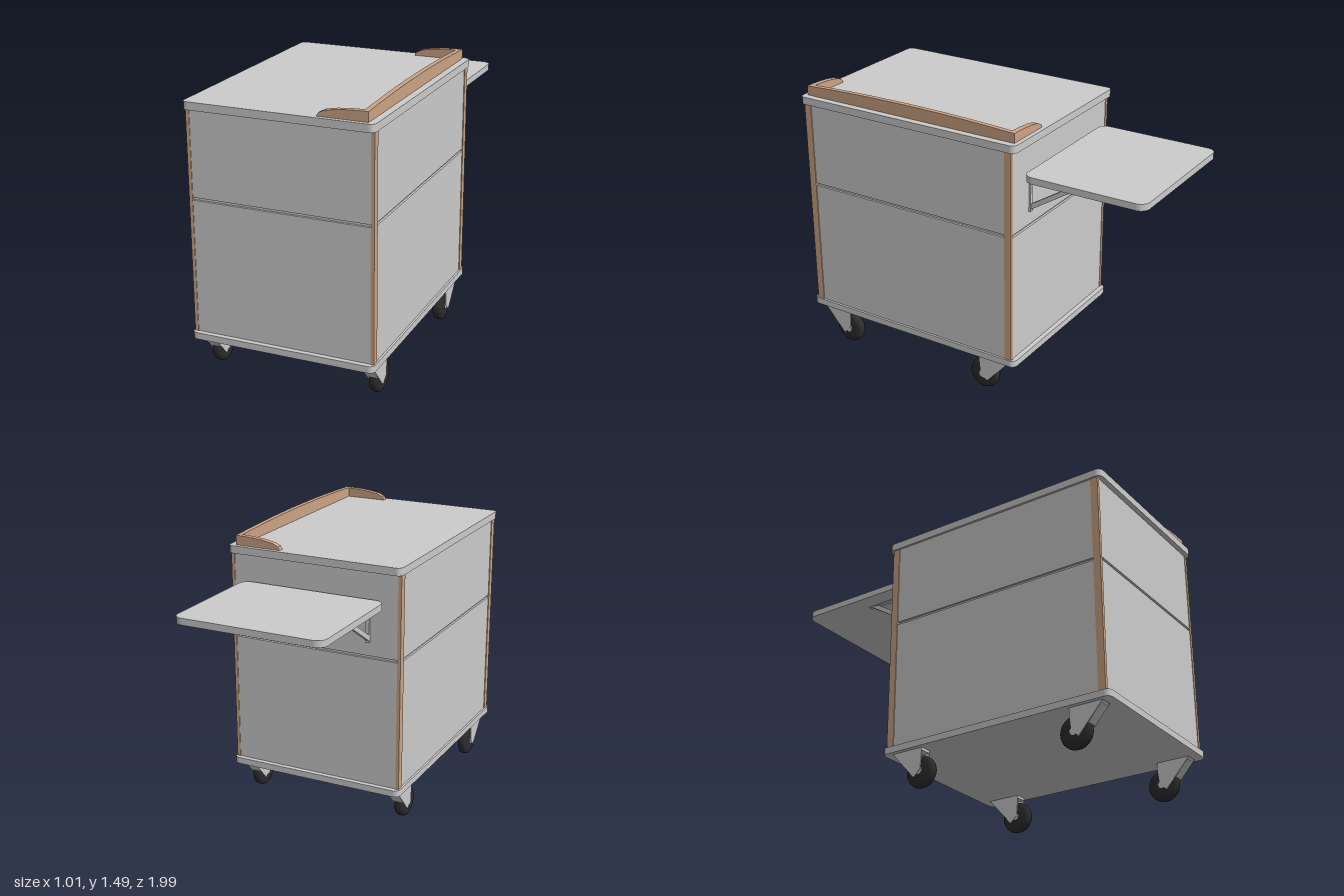
import * as THREE from 'three';

const grey = new THREE.MeshStandardMaterial({ color: 0xcccccc });
const wood = new THREE.MeshStandardMaterial({ color: 0xcda485 });
const rubber = new THREE.MeshStandardMaterial({ color: 0x2c2c2c });

function add(parent, name, geometry, material, x = 0, y = 0, z = 0) {
  const mesh = new THREE.Mesh(geometry, material);
  mesh.name = name;
  mesh.position.set(x, y, z);
  parent.add(mesh);
  return mesh;
}

const box = (w, h, d) => new THREE.BoxGeometry(w, h, d);

// Horizontal board with rounded corners, standing on its own y = 0
function board(w, d, h, r) {
  const s = new THREE.Shape(), x = w / 2, y = d / 2;
  s.moveTo(-x + r, -y);
  s.lineTo(x - r, -y);
  s.absarc(x - r, -y + r, r, -Math.PI / 2, 0);
  s.absarc(x - r, y - r, r, 0, Math.PI / 2);
  s.absarc(-x + r, y - r, r, Math.PI / 2, Math.PI);
  s.absarc(-x + r, -y + r, r, Math.PI, Math.PI * 1.5);
  return new THREE.ExtrudeGeometry(s, { depth: h, bevelEnabled: false, curveSegments: 8 }).rotateX(-Math.PI / 2);
}

// Upright plate from an outline, centred on its thickness
function plate(points, t) {
  const s = new THREE.Shape(points.map(p => new THREE.Vector2(...p)));
  return new THREE.ExtrudeGeometry(s, { depth: t, bevelEnabled: false }).translate(0, 0, -t / 2);
}

// Same, with the outline given as (z, y) and the thickness along x
const sidePlate = (points, t) => plate(points, t).rotateY(-Math.PI / 2);

function caster() {
  const g = new THREE.Group();
  g.name = 'caster';
  // Tyre with bevelled shoulders
  const tyre = [[0.02, -0.027], [0.062, -0.027], [0.078, -0.02], [0.083, -0.008],
    [0.083, 0.008], [0.078, 0.02], [0.062, 0.027], [0.02, 0.027]].map(p => new THREE.Vector2(...p));
  const wheel = new THREE.LatheGeometry(tyre, 28).rotateZ(Math.PI / 2);
  add(g, 'wheel', wheel, rubber, 0, 0.083, 0);
  add(g, 'axle', new THREE.CylinderGeometry(0.021, 0.021, 0.062, 16).rotateZ(Math.PI / 2), grey, 0, 0.083, 0);
  // Fork cheeks, sloping web and mounting plate
  const cheek = [[0.16, 0.2], [-0.02, 0.2], [-0.02, 0.165], [-0.012, 0.085], [0.027, 0.05], [0.045, 0.07]];
  for (const s of [-1, 1]) add(g, 'forkCheek', sidePlate(cheek, 0.005), grey, s * 0.031, 0, 0);
  const web = [[0.16, 0.2], [0.15, 0.2], [0.076, 0.107], [0.08, 0.107]];
  add(g, 'forkWeb', sidePlate(web, 0.06), grey);
  add(g, 'forkTop', box(0.062, 0.012, 0.17), grey, 0, 0.194, 0.065);
  return g;
}

export function createModel() {
  const model = new THREE.Group();
  model.name = 'cart';
  const cart = new THREE.Group();
  cart.name = 'cartBody';
  cart.position.set(-0.0025, 0, 0.3225);
  cart.rotation.y = -0.031;
  model.add(cart);

  // Base and top boards
  add(cart, 'baseBoard', board(0.975, 1.317, 0.035, 0.03), grey, 0, 0.2, 0);
  add(cart, 'topBoard', board(0.975, 1.317, 0.04, 0.03), grey, 0, 1.38, 0);

  // Inner core seen through the panel gaps
  add(cart, 'core', box(0.93, 1.145, 1.24), grey, 0, 0.8075, 0);

  // Lower and upper panels on all four sides
  for (const [y0, y1] of [[0.235, 0.924], [0.938, 1.38]]) {
    const h = y1 - y0, y = (y0 + y1) / 2;
    for (const s of [-1, 1]) {
      add(cart, s > 0 ? 'frontPanel' : 'backPanel', box(0.924, h, 0.014), grey, 0, y, s * 0.625);
      add(cart, s > 0 ? 'leftPanel' : 'rightPanel', box(0.014, h, 1.19), grey, s * 0.469, y, 0);
    }
  }

  // Corner posts
  for (const sx of [-1, 1]) for (const sz of [-1, 1])
    add(cart, 'cornerPost', box(0.018, 1.145, 0.04), wood, sx * 0.471, 0.8075, sz * 0.615);

  // Guard rail with an arched top and two short arms
  const rail = [[-0.635, 1.42], [0.635, 1.42]];
  for (let i = 0; i <= 12; i++) {
    const t = 1 - i / 6;
    rail.push([0.635 * t, 1.487 - 0.017 * t * t]);
  }
  add(cart, 'guardRail', sidePlate(rail, 0.026), wood, 0.437, 0, 0);
  const arm = [[0.195, 1.42], [0.425, 1.42], [0.425, 1.47], [0.36, 1.468], [0.29, 1.462],
    [0.235, 1.452], [0.205, 1.438]];
  for (const s of [-1, 1]) add(cart, 'railArm', plate(arm, 0.03), wood, 0, 0, s * 0.62);

  // Fold-out shelf at the back with two strut brackets
  add(cart, 'shelf', board(0.8, 0.66, 0.035, 0.05), grey, 0, 1.205, -0.98);
  const strut = [[-0.632, 1.015], [-0.632, 1.045], [-0.885, 1.205], [-0.93, 1.205]];
  for (const s of [-1, 1]) {
    add(cart, 'shelfStrut', sidePlate(strut, 0.018), grey, s * 0.3, 0, 0);
    add(cart, 'wallBracket', box(0.022, 0.195, 0.012), grey, s * 0.3, 1.1075, -0.637);
    add(cart, 'shelfBracket', box(0.022, 0.008, 0.3), grey, s * 0.3, 1.202, -0.785);
  }

  // Casters, forks raked outward
  for (const sx of [-1, 1]) for (const sz of [-1, 1]) {
    const c = caster();
    c.position.set(sx * 0.43, 0, sz * 0.447);
    if (sz < 0) c.rotation.y = Math.PI;
    cart.add(c);
  }
  return model;
}
